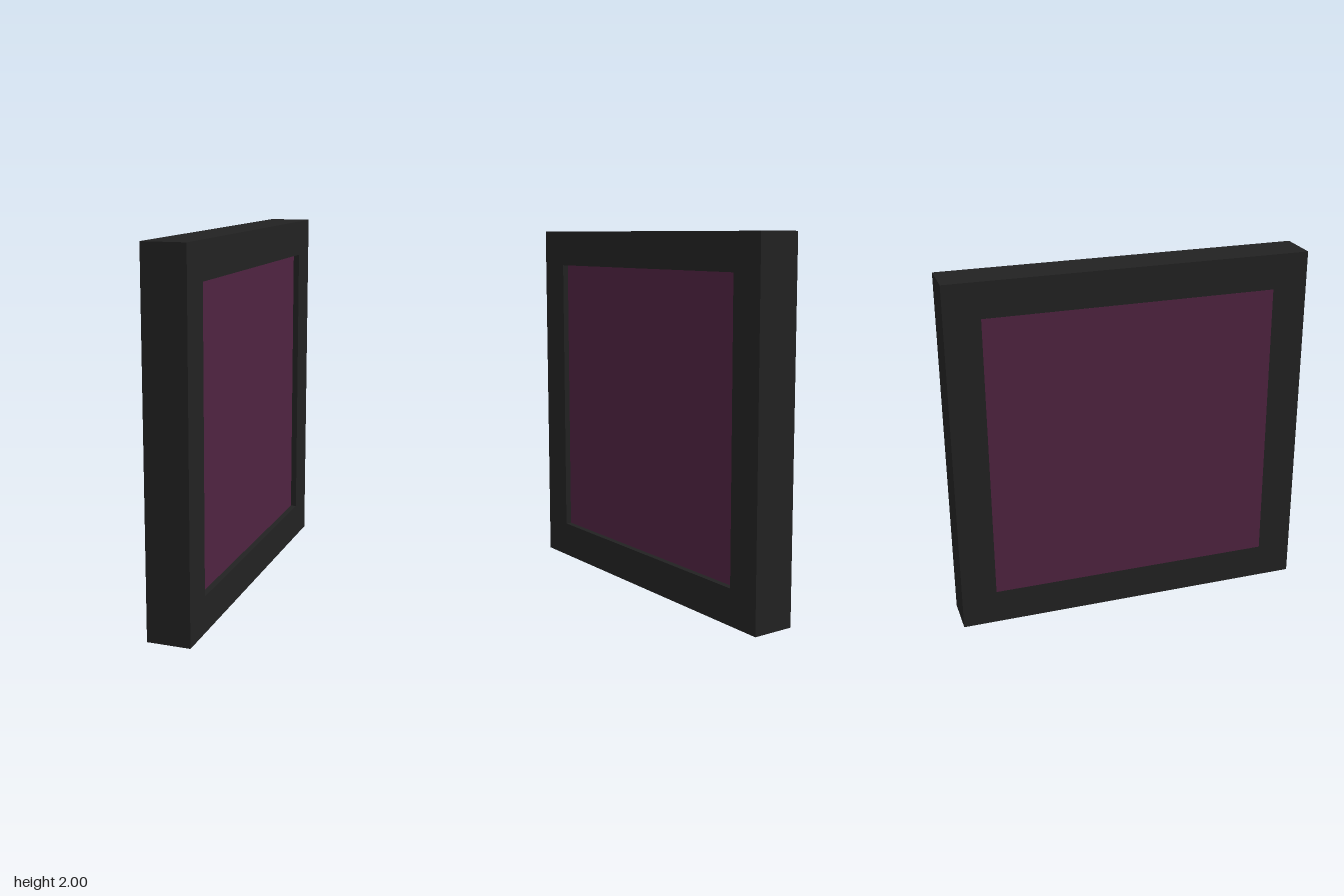
import * as THREE from 'three';

export function createModel() {
  const model = new THREE.Group();
  model.name = 'framedPanel';

  const frameMaterial = new THREE.MeshStandardMaterial({ color: 0x222222 });
  frameMaterial.name = 'charcoal';
  const panelMaterial = new THREE.MeshStandardMaterial({ color: 0x4e2340 });
  panelMaterial.name = 'plum';

  const depth = 0.236; // frame thickness along x
  const recess = 0.032; // panel setback on the +x side

  // Square outline, optionally used as the opening
  const square = (half, Type) => new Type([
    new THREE.Vector2(-half, -half),
    new THREE.Vector2(half, -half),
    new THREE.Vector2(half, half),
    new THREE.Vector2(-half, half),
  ]);

  // Square frame with an open centre, extruded then turned to face x
  const outline = square(1, THREE.Shape);
  outline.holes.push(square(0.8, THREE.Path));
  const frameGeometry = new THREE.ExtrudeGeometry(outline, { depth, bevelEnabled: false });
  frameGeometry.translate(0, 0, -depth / 2).rotateY(Math.PI / 2);
  const frame = new THREE.Mesh(frameGeometry, frameMaterial);
  frame.name = 'frame';
  frame.position.y = 1;

  // Solid panel: recessed on +x, level with the frame on -x
  const panel = new THREE.Mesh(new THREE.BoxGeometry(depth - recess, 1.61, 1.61), panelMaterial);
  panel.name = 'panel';
  panel.position.set(-recess / 2 - 0.001, 1, 0);

  model.add(frame, panel);
  return model;
}
